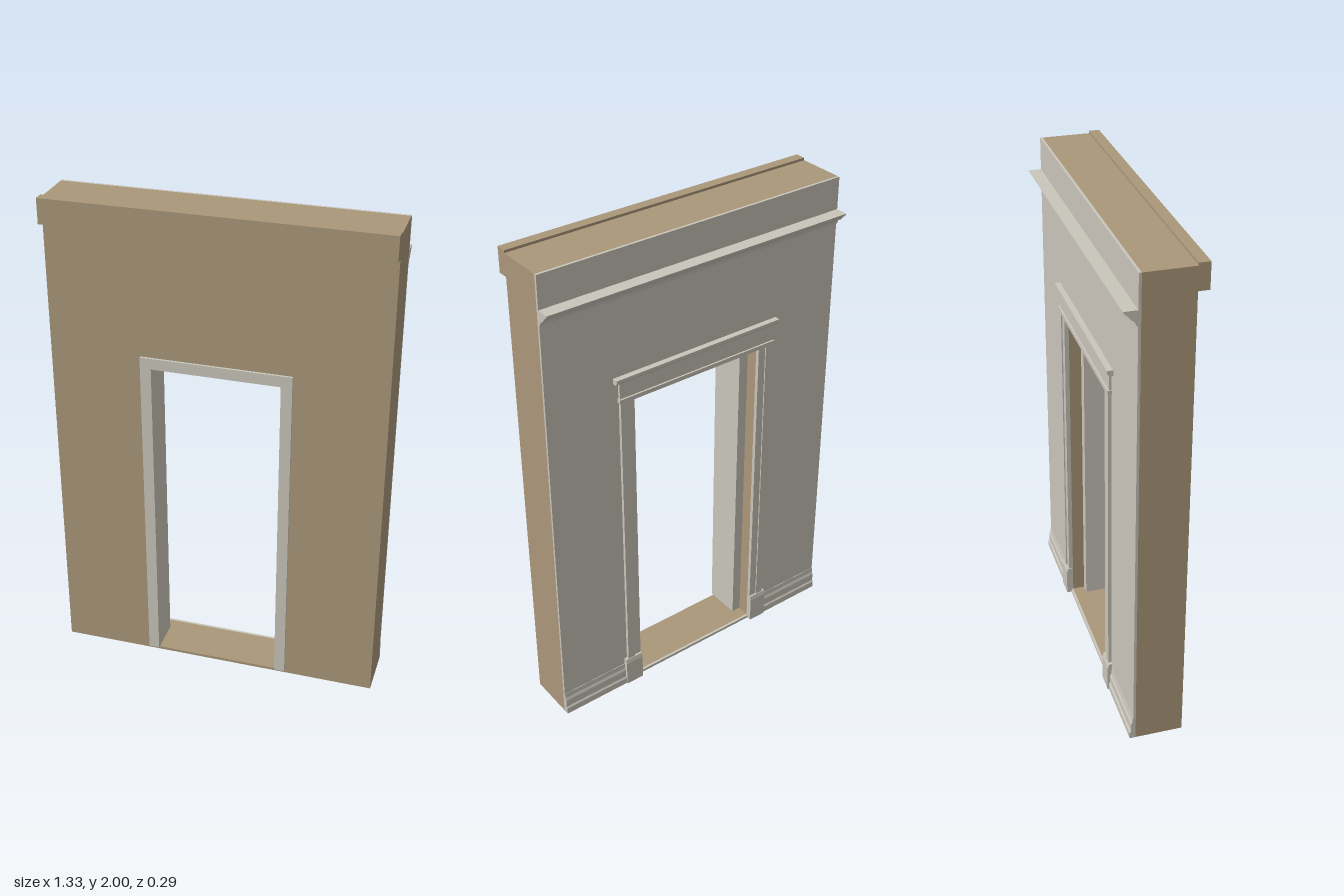
import * as THREE from 'three';

const W = 0.664; // half width of the wall

export function createModel() {
  const tan = new THREE.MeshStandardMaterial({ color: 0xab977a });
  tan.name = 'tan wall';
  const grey = new THREE.MeshStandardMaterial({ color: 0xc9c5bb });
  grey.name = 'grey trim';

  const model = new THREE.Group();
  model.name = 'doorwayWall';

  const add = (name, geometry, material) => {
    const mesh = new THREE.Mesh(geometry, material);
    mesh.name = name;
    model.add(mesh);
    return mesh;
  };

  // Box given by its minimum and maximum on each axis
  const box = (name, material, x0, x1, y0, y1, z0, z1) => {
    const g = new THREE.BoxGeometry(x1 - x0, y1 - y0, z1 - z0);
    g.translate((x0 + x1) / 2, (y0 + y1) / 2, (z0 + z1) / 2);
    return add(name, g, material);
  };

  const polygon = (points) => points.map(([x, y]) => new THREE.Vector2(x, y));

  // Front-facing outline extruded between two depths
  const slab = (name, material, shape, z0, z1) => {
    const g = new THREE.ExtrudeGeometry(shape, { depth: z1 - z0, bevelEnabled: false });
    g.translate(0, 0, z0);
    return add(name, g, material);
  };

  // Moulding profile of [depth behind z = 0, height], run along x
  const moulding = (name, material, profile, x0, x1) => {
    const g = new THREE.ExtrudeGeometry(new THREE.Shape(polygon(profile)), { depth: x1 - x0, bevelEnabled: false });
    g.rotateY(Math.PI / 2); // depth axis turns to -z, run turns to +x
    g.translate(x0, 0, 0);
    return add(name, g, material);
  };

  // Wall core and back panel, each with the door opening
  const wallShape = new THREE.Shape(polygon([[-W, 0], [W, 0], [W, 1.99], [-W, 1.99]]));
  wallShape.holes.push(new THREE.Path(polygon([[-0.295, 0.012], [-0.295, 1.39], [0.295, 1.39], [0.295, 0.012]])));
  slab('wall', tan, wallShape, -0.085, 0.105);
  slab('backPanel', grey, wallShape, -0.095, -0.085);

  // Raised band along the top of the front
  box('topBand', tan, -W, W, 1.9, 2, 0.105, 0.147);

  // Door frame lining the opening, set back from the rear
  const frame = new THREE.Shape(polygon([
    [-0.299, 0.013], [-0.255, 0.013], [-0.255, 1.35], [0.255, 1.35],
    [0.255, 0.013], [0.299, 0.013], [0.299, 1.395], [-0.299, 1.395],
  ]));
  slab('doorFrame', grey, frame, -0.035, 0.115);

  // Crown moulding on the back
  moulding('crownMoulding', grey, [
    [0.093, 1.8], [0.1, 1.803], [0.105, 1.818], [0.118, 1.826],
    [0.132, 1.843], [0.14, 1.848], [0.147, 1.86], [0.093, 1.86],
  ], -W, W);

  // Casing, plinth block and skirting on each side of the door
  for (const [side, s] of [['left', 1], ['right', -1]]) {
    const span = (a, b) => (s > 0 ? [a, b] : [-b, -a]);
    box(side + 'CasingInner', grey, ...span(0.293, 0.327), 0.13, 1.385, -0.103, -0.09);
    box(side + 'CasingOuter', grey, ...span(0.325, 0.357), 0.13, 1.385, -0.108, -0.09);

    moulding(side + 'PlinthBlock', grey, [
      [0.09, 0], [0.114, 0], [0.114, 0.11], [0.109, 0.128], [0.09, 0.13],
    ], ...span(0.291, 0.37));

    moulding(side + 'Skirting', grey, [
      [0.09, 0], [0.109, 0], [0.109, 0.028], [0.104, 0.035],
      [0.104, 0.068], [0.099, 0.08], [0.097, 0.1], [0.09, 0.1],
    ], ...span(0.37, W));
  }

  // Door head: lower bead, flat frieze and projecting cap
  box('headBead', grey, -0.362, 0.362, 1.383, 1.4, -0.112, -0.09);
  box('headFrieze', grey, -0.358, 0.358, 1.4, 1.472, -0.105, -0.09);
  moulding('headCap', grey, [
    [0.09, 1.468], [0.11, 1.468], [0.118, 1.478], [0.118, 1.49], [0.09, 1.49],
  ], -0.378, 0.378);

  return model;
}
